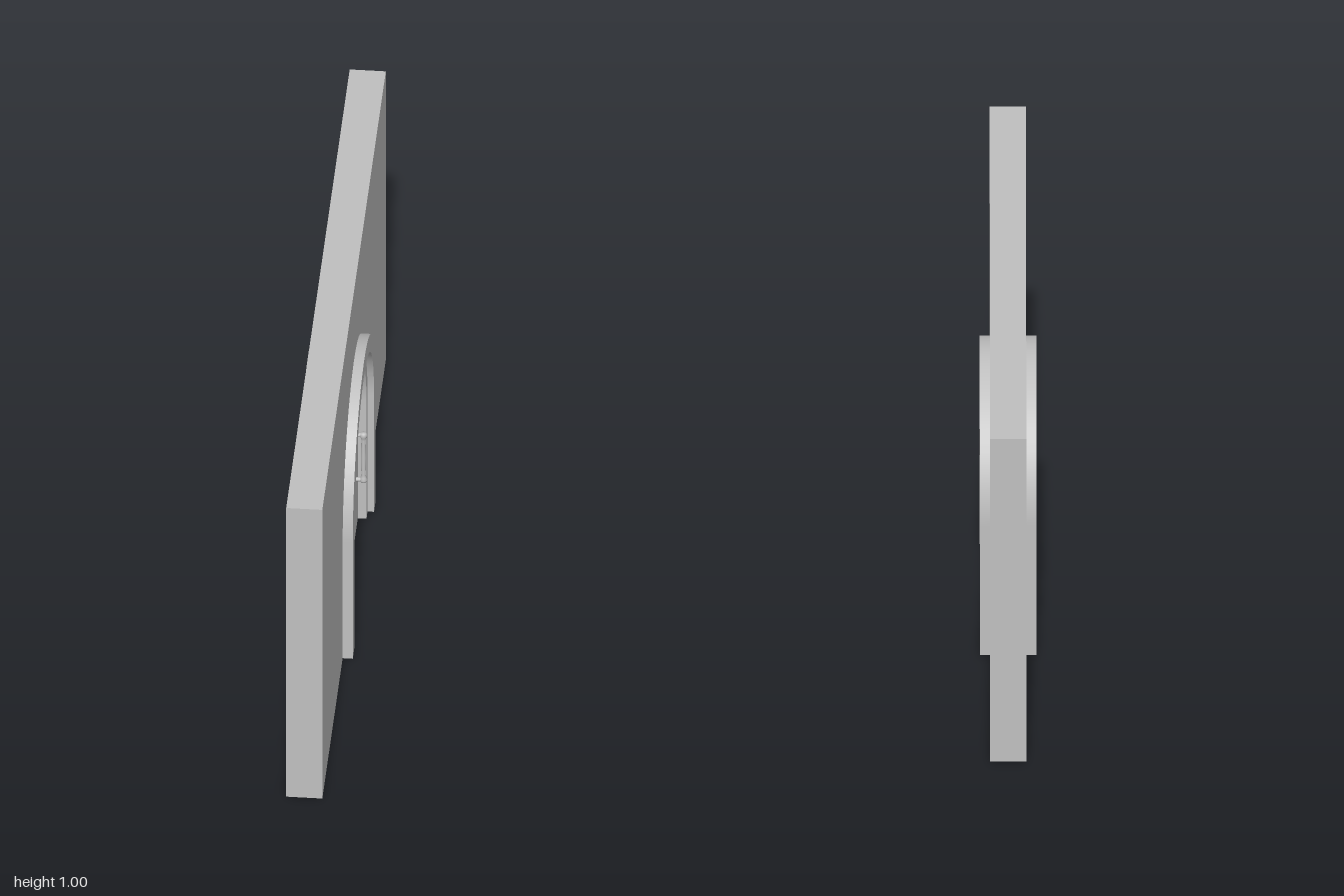
import * as THREE from 'three';
import { toCreasedNormals } from 'three/addons/utils/BufferGeometryUtils.js';

const SPRING = 0.4; // height where the arch begins
const DOOR_R = 0.277, STEP_R = 0.31, FRAME_R = 0.36;
const DOOR_X = 0.036; // half thickness of the door

// Traces an arch from its left foot to its right foot
function traceArch(path, r) {
  path.lineTo(r, 0);
  path.lineTo(r, SPRING);
  path.absarc(0, SPRING, r, 0, Math.PI, false);
  path.lineTo(-r, 0);
}

// Extrudes a (z, y) shape symmetrically across the wall thickness
function slab(shape, halfX, bevel = 0) {
  const depth = 2 * (halfX - bevel);
  const g = new THREE.ExtrudeGeometry(shape, {
    depth, curveSegments: 48, bevelEnabled: bevel > 0,
    bevelThickness: bevel, bevelSize: bevel, bevelOffset: -bevel, bevelSegments: 2,
  });
  g.translate(0, 0, -depth / 2);
  g.rotateY(-Math.PI / 2);
  return toCreasedNormals(g, 0.5);
}

// Outline of one arched band between two radii
function archBand(inner, outer) {
  const s = new THREE.Shape();
  s.moveTo(-outer, 0);
  s.lineTo(-inner, 0);
  s.lineTo(-inner, SPRING);
  s.absarc(0, SPRING, inner, Math.PI, 0, true);
  s.lineTo(inner, 0);
  s.lineTo(outer, 0);
  s.lineTo(outer, SPRING);
  s.absarc(0, SPRING, outer, 0, Math.PI, false);
  s.lineTo(-outer, 0);
  return s;
}

// Vertical board whose top follows the arch
function plankShape(z0, z1) {
  const s = new THREE.Shape();
  s.moveTo(z0, 0);
  s.lineTo(z1, 0);
  for (let i = 0; i <= 12; i++) {
    const z = z1 + (z0 - z1) * i / 12;
    s.lineTo(z, SPRING + Math.sqrt(Math.max(0, DOOR_R ** 2 - z * z)));
  }
  return s;
}

export function createModel() {
  const model = new THREE.Group();
  const stone = new THREE.MeshStandardMaterial({ color: 0xc0c0c0 });
  stone.name = 'plain grey';
  const add = (name, geometry, parent = model) => {
    const mesh = new THREE.Mesh(geometry, stone);
    mesh.name = name;
    parent.add(mesh);
    return mesh;
  };

  // Wall with an arched opening
  const wall = new THREE.Shape();
  wall.moveTo(-1, 0);
  traceArch(wall, -FRAME_R); // walks to the opening, over the arch and out again
  wall.curves.length = 0;
  wall.currentPoint.set(-1, 0);
  wall.lineTo(-FRAME_R, 0);
  wall.lineTo(-FRAME_R, SPRING);
  wall.absarc(0, SPRING, FRAME_R, Math.PI, 0, true);
  wall.lineTo(FRAME_R, 0);
  wall.lineTo(1, 0);
  wall.lineTo(1, 1);
  wall.lineTo(-1, 1);
  add('wall', slab(wall, 0.05));

  // Stepped door surround, standing out on both faces
  add('outerFrame', slab(archBand(STEP_R, FRAME_R), 0.078));
  add('innerFrame', slab(archBand(DOOR_R, STEP_R), 0.06));

  // Door: a thin core with planks separated by narrow grooves
  const core = new THREE.Shape();
  core.moveTo(-DOOR_R, 0);
  traceArch(core, DOOR_R);
  add('doorCore', slab(core, DOOR_X - 0.005));
  const joints = [-DOOR_R, -0.2, -0.095, 0, 0.095, 0.2, DOOR_R];
  for (let i = 0; i < 6; i++) {
    add('plank', slab(plankShape(joints[i] + 0.0015, joints[i + 1] - 0.0015), DOOR_X));
  }

  // Strap hinge with a spear-shaped tip
  const half = [[0.06, 0.013], [0.052, 0.02], [0.033, 0.037], [0.014, 0.016], [0, 0.01]];
  const strap = new THREE.Shape();
  strap.moveTo(DOOR_R, 0.013);
  half.forEach(([z, y]) => strap.lineTo(z, y));
  strap.lineTo(-0.036, 0);
  [...half].reverse().forEach(([z, y]) => strap.lineTo(z, -y));
  strap.lineTo(DOOR_R, -0.013);
  const strapGeometry = slab(strap, 0.008, 0.004);

  // Turned pull handle
  const gripProfile = [[0, -0.085], [0.008, -0.084], [0.011, -0.077], [0.008, -0.069],
    [0.006, -0.06], [0.007, 0], [0.006, 0.06], [0.008, 0.069], [0.011, 0.077],
    [0.008, 0.084], [0, 0.085]].map(([r, y]) => new THREE.Vector2(r, y));
  const gripGeometry = new THREE.LatheGeometry(gripProfile, 16);
  const postGeometry = new THREE.CylinderGeometry(0.006, 0.006, 0.022, 12).rotateZ(Math.PI / 2);

  // Ironwork on both faces of the door
  for (const side of [1, -1]) {
    for (const y of [0.345, 0.123]) {
      add('strapHinge', strapGeometry).position.set(side * (DOOR_X + 0.005), y, 0);
    }
    const handle = new THREE.Group();
    handle.name = 'handle';
    handle.position.set(side * DOOR_X, 0.25, -0.228);
    add('grip', gripGeometry, handle).position.x = side * 0.02;
    for (const y of [-0.077, 0.077]) {
      add('gripPost', postGeometry, handle).position.set(side * 0.009, y, 0);
    }
    model.add(handle);
  }
  return model;
}
